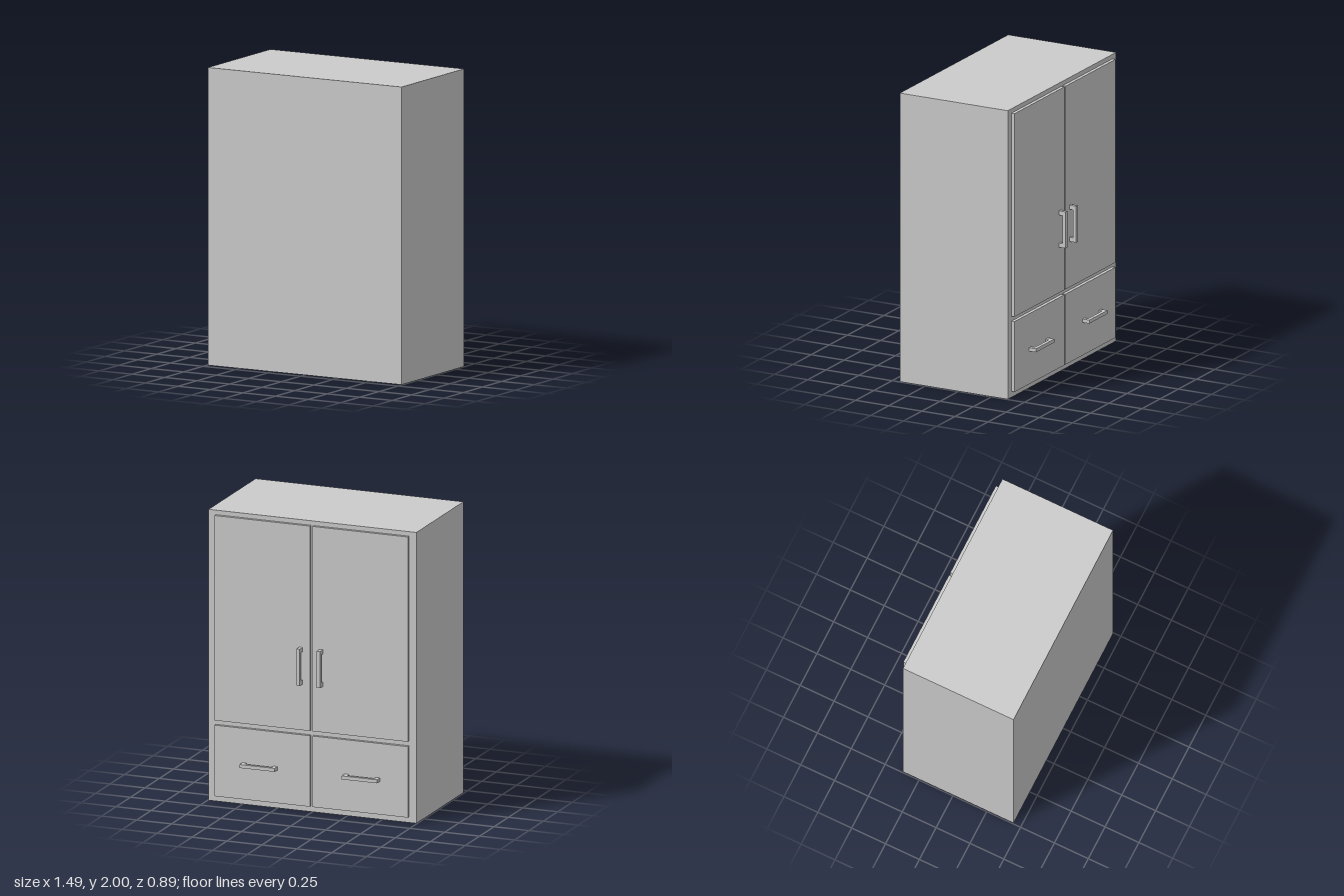
import * as THREE from 'three';

const material = new THREE.MeshStandardMaterial({ color: 0xcccccc, flatShading: true });

// Box given by its minimum and maximum corners
function box(name, [x0, y0, z0], [x1, y1, z1]) {
  const mesh = new THREE.Mesh(new THREE.BoxGeometry(x1 - x0, y1 - y0, z1 - z0), material);
  mesh.name = name;
  mesh.position.set((x0 + x1) / 2, (y0 + y1) / 2, (z0 + z1) / 2);
  return mesh;
}

// Bracket handle: a U-shaped outline extruded to a square bar, opening toward +z
function handle(name) {
  const half = 0.126, depth = 0.051, bar = 0.024, foot = 0.029;
  const outline = [
    [-half, 0], [-half, -depth], [half, -depth], [half, 0],
    [half - foot, 0], [half - foot, bar - depth], [foot - half, bar - depth], [foot - half, 0],
  ];
  const shape = new THREE.Shape(outline.map(([x, y]) => new THREE.Vector2(x, y)));
  const geometry = new THREE.ExtrudeGeometry(shape, { depth: bar, bevelEnabled: false });
  geometry.translate(0, 0, -bar / 2).rotateX(Math.PI / 2);
  const mesh = new THREE.Mesh(geometry, material);
  mesh.name = name;
  return mesh;
}

export function createModel() {
  const model = new THREE.Group();
  model.name = 'wardrobe';
  const bodyZ = -0.371, panelZ = -0.394;

  // Carcass
  model.add(box('body', [-0.744, 0, bodyZ], [0.744, 2, 0.445]));

  // Doors and drawers, mirrored about the centre line
  for (const [side, s] of [['left', 1], ['right', -1]]) {
    const inner = s * 0.009, outer = s * 0.692;
    const x0 = Math.min(inner, outer), x1 = Math.max(inner, outer);
    model.add(box(side + 'Door', [x0, 0.561, panelZ], [x1, 1.969, bodyZ]));
    model.add(box(side + 'Drawer', [x0, 0.04, panelZ], [x1, 0.528, bodyZ]));

    const doorHandle = handle(side + 'DoorHandle');
    doorHandle.rotation.z = Math.PI / 2;
    doorHandle.position.set(s * 0.073, 1.004, panelZ);

    const drawerHandle = handle(side + 'DrawerHandle');
    drawerHandle.position.set(s * 0.366, 0.28, panelZ);
    model.add(doorHandle, drawerHandle);
  }
  return model;
}
